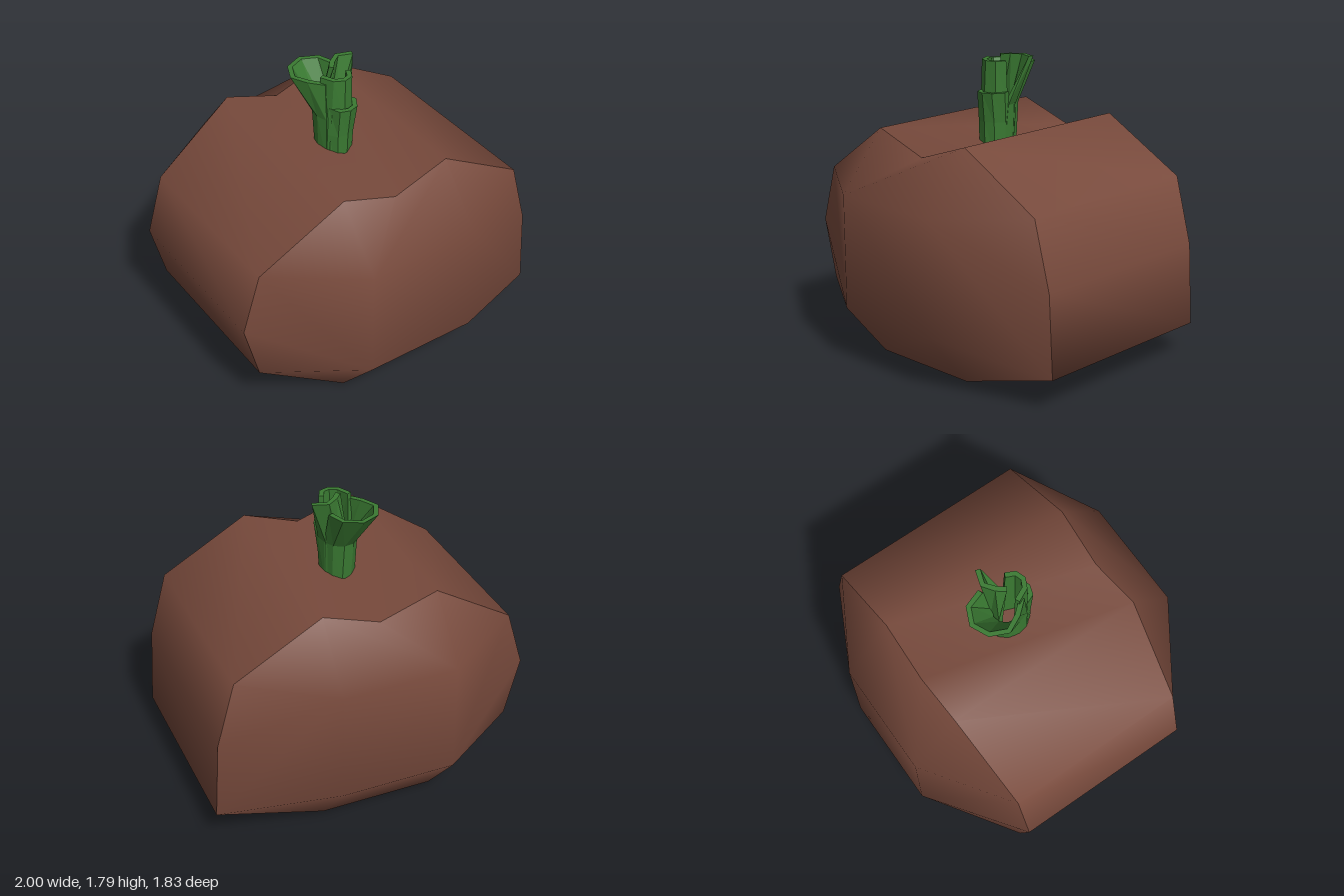
import * as THREE from 'three';

const brown = new THREE.MeshStandardMaterial({ color: 0x784a3c });
const green = new THREE.MeshStandardMaterial({ color: 0x3a7a32, flatShading: true, side: THREE.DoubleSide });

function mesh(name, points, index, material) {
  const g = new THREE.BufferGeometry();
  g.setAttribute('position', new THREE.Float32BufferAttribute(points.flat(), 3));
  g.setIndex(index);
  g.computeVertexNormals();
  const m = new THREE.Mesh(g, material);
  m.name = name;
  return m;
}

// Body outline, clockwise from the upper left: x, y, half depth, nearest corner of the end face
const outline = [
  [-0.37, 1.39, 0.62, 0], [-0.02, 1.27, 0.62, 0], [0.33, 1.39, 0.62, 1],
  [0.86, 1.09, 0.62, 1], [0.97, 0.69, 0.62, 1], [1, 0.2, 0.62, 2],
  [0.33, 0, 0.62, 2], [-0.37, 0, 0.62, 3], [-0.91, 0.33, 0.55, 3],
  [-1, 0.69, 0.55, 3], [-0.89, 1.05, 0.555, 0],
];
const endFace = [[-0.37, 1.04], [0.33, 1.04], [0.33, 0.35], [-0.37, 0.35]];
const n = outline.length;

// Smooth band running from front to back
function bodyBand() {
  const points = [], index = [];
  outline.forEach(([x, y, z], i) => {
    points.push([x, y, z], [x, y, -z]);
    const a = 2 * i, b = 2 * ((i + 1) % n);
    index.push(a, b, b + 1, a, b + 1, a + 1);
  });
  return mesh('bodyBand', points, index, brown);
}

// Bulging end: the outline drawn in to a smaller, raised face
function bodyEnd(name, side) {
  const points = outline.map(([x, y, z]) => [x, y, side * z]);
  endFace.forEach(([x, y]) => points.push([x, y, side * 0.915]));
  const index = [n, n + 3, n + 2, n, n + 2, n + 1];
  for (let i = 0; i < n; i++) {
    const j = (i + 1) % n, a = n + outline[i][3], b = n + outline[j][3];
    index.push(j, i, a);
    if (a !== b) index.push(a, b, j);
  }
  if (side < 0) index.reverse();
  return mesh(name, points, index, brown);
}

// Thick curved strip of stem: an arc of the round base lofted to a free top arc
function stemStrip(name, from, to, yMid, yTop, spread, top, thick = 0.03) {
  const k = top.length, points = [], index = [];
  const base = top.map((_, i) => {
    const t = THREE.MathUtils.degToRad(from + (to - from) * i / (k - 1));
    return [-0.02 + 0.1 * Math.cos(t), 0.12 * Math.sin(t)];
  });
  const mid = base.map(([x, z], i) => [
    THREE.MathUtils.lerp(x, top[i][0], spread), THREE.MathUtils.lerp(z, top[i][1], spread)]);
  const rows = [[1.2, base], [yMid, mid], [yTop, top]];
  for (const [y, arc] of rows) {
    arc.forEach(([x, z], i) => {
      const p = arc[Math.max(i - 1, 0)], q = arc[Math.min(i + 1, k - 1)];
      const dx = q[0] - p[0], dz = q[1] - p[1], s = thick / Math.hypot(dx, dz);
      points.push([x, y, z], [x - dz * s, y, z + dx * s]);
    });
  }
  const quad = (a, b, c, d) => index.push(a, b, c, a, c, d);
  const at = (r, i, inner) => 2 * (r * k + i) + inner;
  for (let r = 0; r < 2; r++) {
    for (let i = 0; i < k - 1; i++) {
      quad(at(r, i, 0), at(r + 1, i, 0), at(r + 1, i + 1, 0), at(r, i + 1, 0));
      quad(at(r, i, 1), at(r, i + 1, 1), at(r + 1, i + 1, 1), at(r + 1, i, 1));
    }
    quad(at(r, 0, 0), at(r, 0, 1), at(r + 1, 0, 1), at(r + 1, 0, 0));
    quad(at(r, k - 1, 0), at(r + 1, k - 1, 0), at(r + 1, k - 1, 1), at(r, k - 1, 1));
  }
  for (let i = 0; i < k - 1; i++) {
    quad(at(2, i, 0), at(2, i, 1), at(2, i + 1, 1), at(2, i + 1, 0));
  }
  return mesh(name, points, index, green);
}

export function createModel() {
  const model = new THREE.Group();
  model.name = 'vegetable';

  const body = new THREE.Group();
  body.name = 'body';
  body.add(bodyBand(), bodyEnd('bodyFront', 1), bodyEnd('bodyBack', -1));

  // Split stem; arcs turn from +x through +z to -x and on to -z
  const stem = new THREE.Group();
  stem.name = 'stem';
  stem.add(
    stemStrip('stemBack', 150, 345, 1.5, 1.73, 0.12,
      [[-0.1, 0.04], [-0.17, -0.04], [-0.22, -0.14], [-0.17, -0.25], [-0.06, -0.3], [0.05, -0.25], [0.09, -0.14]]),
    stemStrip('stemRight', 250, 380, 1.5, 1.79, 0.15,
      [[-0.03, -0.03], [0.01, -0.08], [0.08, -0.13], [0.175, -0.1]]),
    stemStrip('stemFrontTall', 0, 190, 1.5, 1.765, 0.5,
      [[0.08, 0.03], [0.05, 0.09], [-0.01, 0.11], [-0.07, 0.08], [-0.11, 0]]),
    stemStrip('stemFrontShort', -20, 150, 1.4, 1.58, 0.3,
      [[0.07, 0], [0.1, 0.06], [0.06, 0.13], [0, 0.15], [-0.06, 0.13], [-0.09, 0.06]]),
  );

  model.add(body, stem);
  return model;
}
